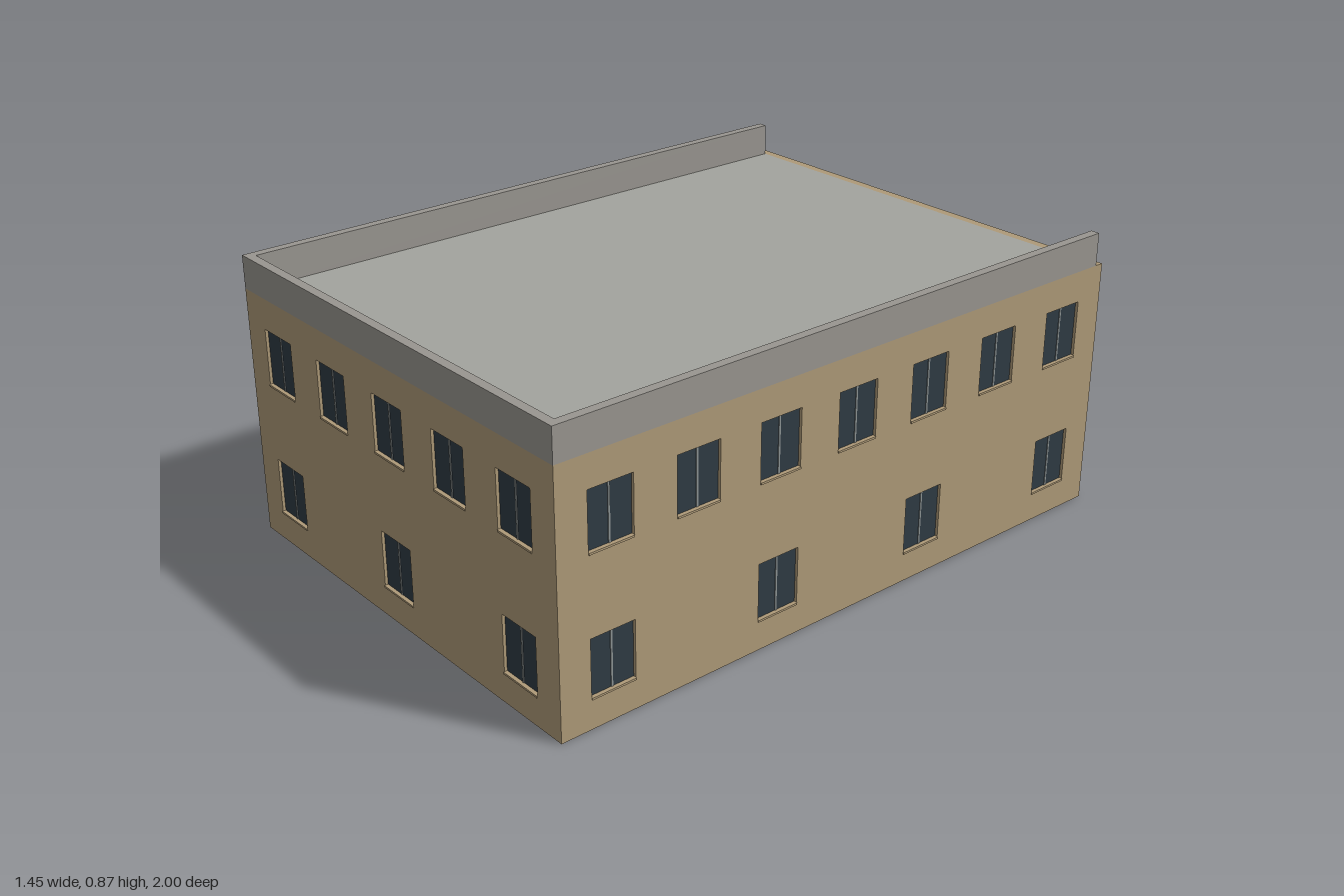
import * as THREE from 'three';

const W = 0.72, D = 0.997;       // half width and half depth of the walls
const T = 0.028;                 // wall thickness
const H = 0.765, TOP = 0.865;    // roof level and parapet top
const WIN_W = 0.14, WIN_H = 0.17, UPPER_Y = 0.5, LOWER_Y = 0.092;
const SHOP_W = 0.236, SHOP_H = 0.292;

const paint = (color) => new THREE.MeshStandardMaterial({ color, roughness: 0.9 });
const MAT = {
  wall: paint(0xae9a78),
  parapet: paint(0x999690),
  roof: paint(0xa3a49e),
  glass: paint(0x2f3b44),
  frame: paint(0x8d9494),
  plinth: paint(0x3a3836),
};

// Box given by its minimum and maximum corners
function box(parent, name, mat, x0, x1, y0, y1, z0, z1) {
  const mesh = new THREE.Mesh(new THREE.BoxGeometry(x1 - x0, y1 - y0, z1 - z0), mat);
  mesh.position.set((x0 + x1) / 2, (y0 + y1) / 2, (z0 + z1) / 2);
  mesh.name = name;
  parent.add(mesh);
  return mesh;
}

// Two-pane window with a central mullion and a slim sill
function addWindow(parent, x, y) {
  const g = new THREE.Group();
  g.name = 'window';
  const h = WIN_W / 2;
  box(g, 'windowGlass', MAT.glass, -h, h, 0, WIN_H, -0.018, -0.009);
  box(g, 'windowMullion', MAT.frame, -0.003, 0.003, 0, WIN_H, -0.02, -0.007);
  box(g, 'windowSill', MAT.wall, -h, h, -0.005, 0.001, -0.012, 0.003);
  g.position.set(x, y, 0);
  parent.add(g);
}

// Glazed bay with plinth, transom and mullion, or a pair of doors
function addShopfront(parent, x, isDoor) {
  const g = new THREE.Group();
  g.name = isDoor ? 'entrance' : 'shopfront';
  const h = SHOP_W / 2, z0 = -0.024, z1 = -0.008, base = isDoor ? 0.006 : 0.035;
  box(g, 'shopGlass', MAT.glass, -h, h, base, SHOP_H, -0.02, -0.012);
  box(g, 'shopPlinth', MAT.plinth, -h, h, 0, base, z0, -0.006);
  box(g, 'shopTransom', MAT.frame, -h, h, 0.217, 0.223, z0, z1);
  const posts = isDoor ? [-0.058, 0, 0.058] : [0];
  for (const px of posts) {
    box(g, 'shopMullion', MAT.frame, px - 0.0025, px + 0.0025, base, isDoor ? 0.22 : SHOP_H, z0, z1);
  }
  if (isDoor) {
    for (const s of [-1, 1]) {
      box(g, 'doorHandle', MAT.frame, s * 0.012 - 0.002, s * 0.012 + 0.002, 0.08, 0.13, -0.012, -0.004);
    }
  }
  g.position.x = x;
  parent.add(g);
}

// Wall with its outer face on local z = 0, pierced by windows and ground-level bays
function facade(name, half, windows, bays = []) {
  const g = new THREE.Group();
  g.name = name;
  const shape = new THREE.Shape();
  shape.moveTo(-half, 0);
  for (const x of bays) {
    shape.lineTo(x - SHOP_W / 2, 0);
    shape.lineTo(x - SHOP_W / 2, SHOP_H);
    shape.lineTo(x + SHOP_W / 2, SHOP_H);
    shape.lineTo(x + SHOP_W / 2, 0);
  }
  shape.lineTo(half, 0);
  shape.lineTo(half, H);
  shape.lineTo(-half, H);
  shape.closePath();
  for (const [x, y] of windows) {
    const hole = new THREE.Path(), h = WIN_W / 2;
    hole.moveTo(x - h, y);
    hole.lineTo(x - h, y + WIN_H);
    hole.lineTo(x + h, y + WIN_H);
    hole.lineTo(x + h, y);
    hole.closePath();
    shape.holes.push(hole);
    addWindow(g, x, y);
  }
  const geo = new THREE.ExtrudeGeometry(shape, { depth: T, bevelEnabled: false });
  geo.translate(0, 0, -T);
  const wall = new THREE.Mesh(geo, MAT.wall);
  wall.name = 'wall';
  g.add(wall);
  bays.forEach((x) => addShopfront(g, x, x === 0));
  return g;
}

export function createModel() {
  const model = new THREE.Group();
  model.name = 'building';

  const five = [-2, -1, 0, 1, 2].map((i) => i * 0.278);
  const seven = [-3, -2, -1, 0, 1, 2, 3].map((i) => i * 0.277);
  const upper = (xs) => xs.map((x) => [x, UPPER_Y]);
  const lower = (xs) => xs.filter((_, i) => i % 2 === 0).map((x) => [x, LOWER_Y]);

  // Four walls
  const front = facade('frontWall', W, [...upper(five), ...lower(five)]);
  front.position.z = D;
  const back = facade('backWall', W, upper(five), five);
  back.rotation.y = Math.PI;
  back.position.z = -D;
  model.add(front, back);
  for (const s of [-1, 1]) {
    const side = facade(s > 0 ? 'leftWall' : 'rightWall', D - T, [...upper(seven), ...lower(seven)]);
    side.rotation.y = s * Math.PI / 2;
    side.position.x = s * W;
    model.add(side);
  }

  // Flat roof, open underneath
  box(model, 'roof', MAT.roof, -W + T, W - T, H - 0.012, H, -D + T, D - T);

  // Parapet on the front and both sides, open at the back
  box(model, 'frontParapet', MAT.parapet, -W, W, H, TOP, D - T, D);
  for (const s of [-1, 1]) {
    const p = box(model, 'sideParapet', MAT.parapet, -T / 2, T / 2, H, TOP, -D + T, D - T);
    p.position.x = s * (W - T / 2);
  }
  return model;
}
